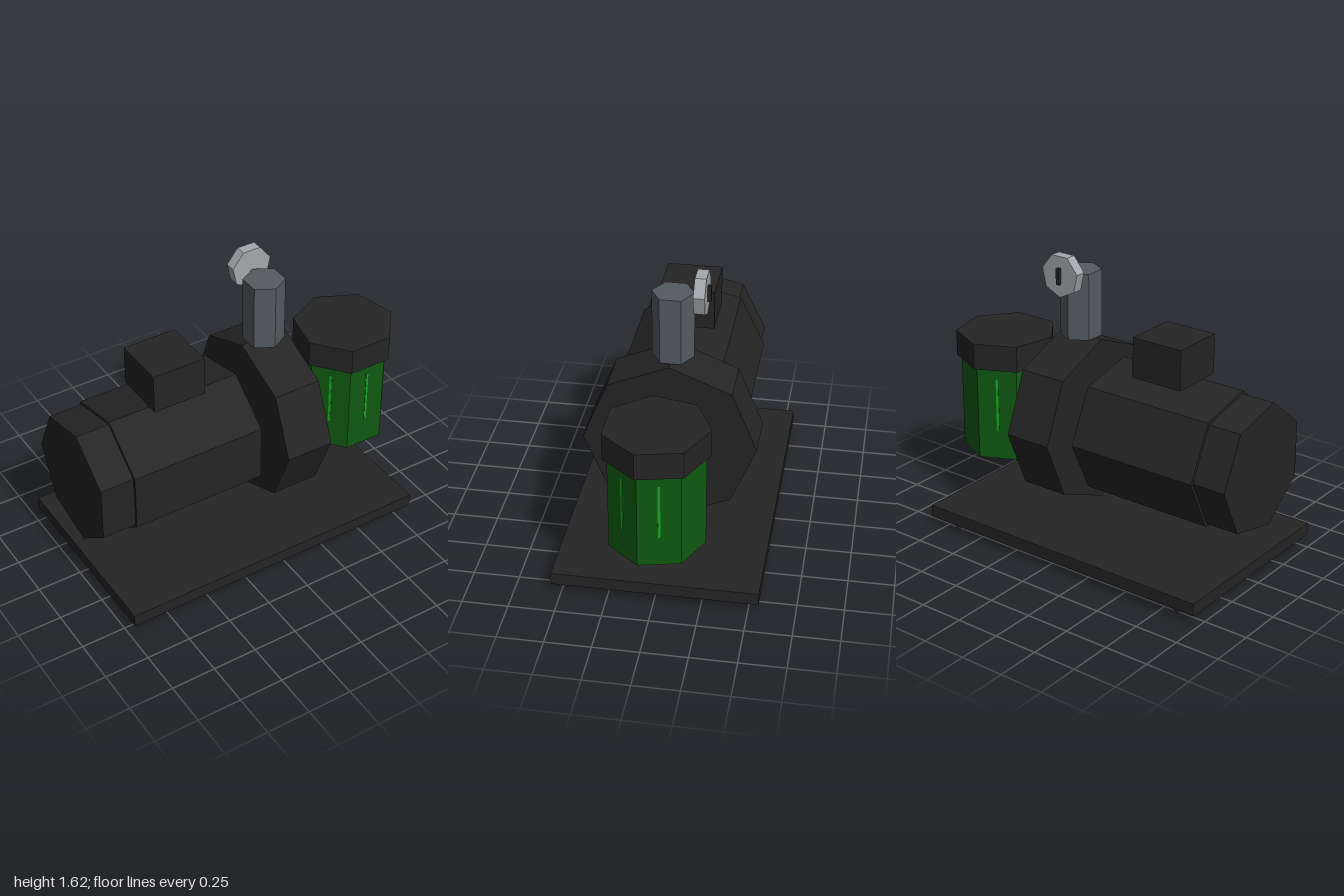
import * as THREE from 'three';

const paint = (name, color) => {
  const m = new THREE.MeshStandardMaterial({ color });
  m.name = name;
  return m;
};

export function createModel() {
  const black = paint('black', 0x252525);
  const steel = paint('steel', 0x565b61);
  const silver = paint('silver', 0xa3a8ac);
  const green = paint('bowl green', 0x0f5a11);
  const bright = paint('bright green', 0x14a822);

  const model = new THREE.Group();
  model.name = 'pump';

  const add = (name, geometry, material, x, y, z, parent = model) => {
    const mesh = new THREE.Mesh(geometry, material);
    mesh.name = name;
    mesh.position.set(x, y, z);
    parent.add(mesh);
    return mesh;
  };
  const box = (w, h, d) => new THREE.BoxGeometry(w, h, d);

  // Faceted cylinder along y, x or z; start turns the first corner
  const prism = (r, length, sides, axis = 'y', start = 0) => {
    let g = new THREE.CylinderGeometry(r, r, length, sides, 1, false, start);
    if (axis === 'x') g.rotateZ(Math.PI / 2);
    if (axis === 'z') g.rotateX(Math.PI / 2);
    g = g.toNonIndexed();
    g.computeVertexNormals();
    return g;
  };

  // Base plate and four feet
  add('basePlate', box(1.8, 0.07, 1.11), black, -0.065, 0.08, 0);
  for (const x of [-0.82, 0.69])
    for (const z of [-0.425, 0.425])
      add('foot', prism(0.083, 0.045, 6), black, x, 0.0225, z);

  // Motor, its end cover and terminal box
  add('motorBody', prism(0.375, 0.77, 7, 'x', Math.PI), black, -0.425, 0.665, 0);
  add('motorEndCover', prism(0.358, 0.19, 7, 'x', Math.PI), black, -0.905, 0.665, 0);
  add('terminalBox', box(0.305, 0.225, 0.305), black, -0.427, 1.157, 0);

  // Pump housing and outlet pipe
  add('pumpHousing', prism(0.47, 0.275, 8, 'x'), black, 0.1875, 0.665, 0);
  add('outletPipe', prism(0.113, 0.375, 6), steel, 0.188, 1.3225, 0);

  // Pressure gauge with its needle on the back
  add('gauge', prism(0.12, 0.06, 7, 'z'), silver, 0.188, 1.515, -0.15);
  add('gaugeNeedle', box(0.02, 0.09, 0.02), black, 0.188, 1.515, -0.19);

  // Strainer bowl and lid
  const strainer = new THREE.Group();
  strainer.name = 'strainer';
  strainer.position.set(0.725, 0, 0);
  model.add(strainer);
  add('strainerBowl', prism(0.26, 0.545, 7, 'y', Math.PI), green, 0, 0.6125, 0, strainer);
  add('strainerLid', prism(0.285, 0.15, 7, 'y', Math.PI), black, 0, 0.96, 0, strainer);

  // Sight lines on the bowl's faces and underside
  const apothem = 0.26 * Math.cos(Math.PI / 7);
  for (const k of [0, 1, 2, 4, 5, 6]) {
    const a = (k * 2 * Math.PI) / 7;
    const line = add('sightLine', box(0.013, 0.315, 0.006), bright,
      Math.sin(a) * apothem, 0.667, Math.cos(a) * apothem, strainer);
    line.rotation.y = a;
  }
  const under = add('undersideLine', box(0.013, 0.006, 0.27), bright, 0, 0.34, 0, strainer);
  under.rotation.y = Math.PI / 7;

  return model;
}
